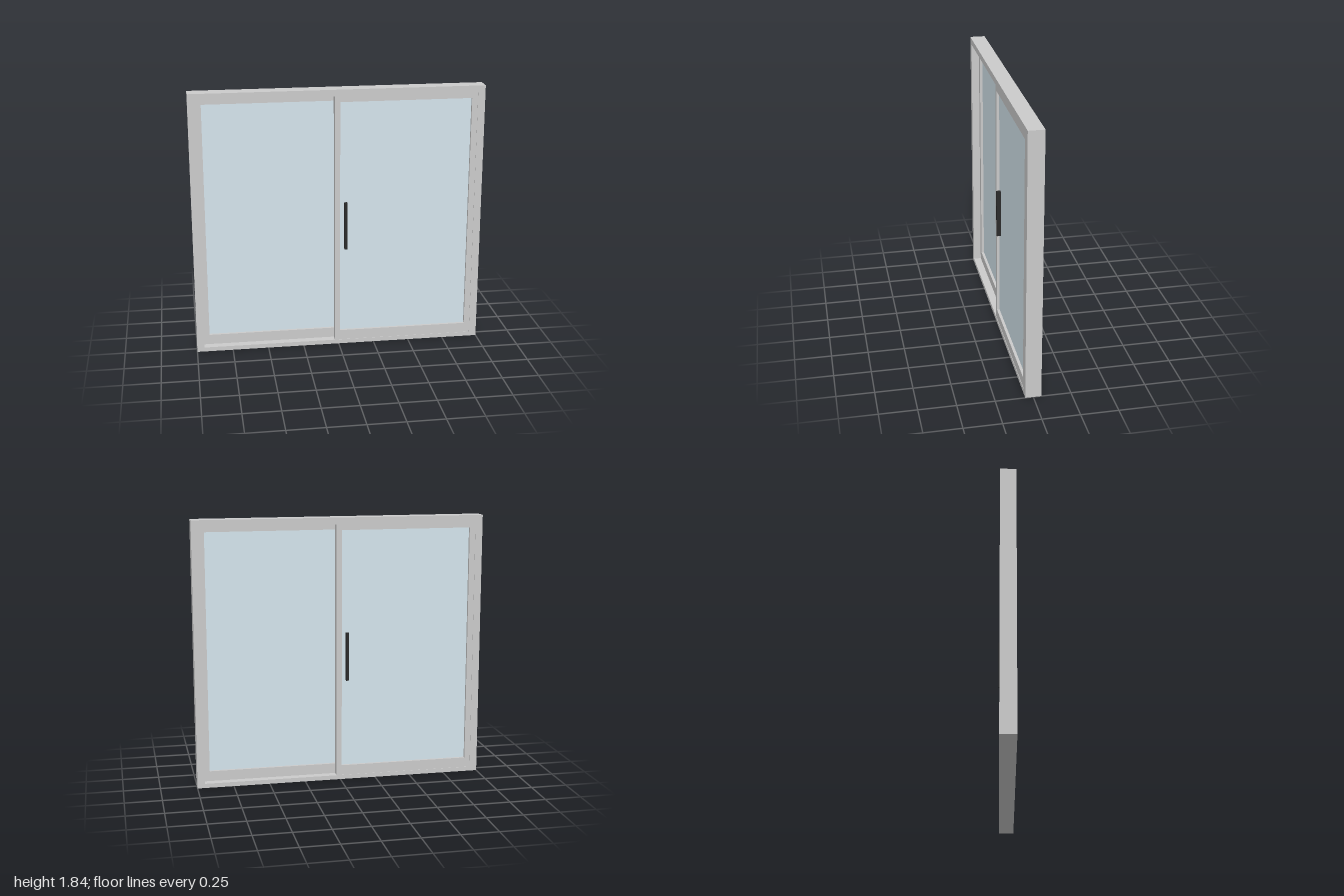
import * as THREE from 'three';

const grey = new THREE.MeshStandardMaterial({ color: 0xcccccc });
const glassBlue = new THREE.MeshStandardMaterial({ color: 0xd5e5ed });
const black = new THREE.MeshStandardMaterial({ color: 0x2a2a2a });

// Rectangle corners given as [x0, y0, x1, y1].
function trace(path, [x0, y0, x1, y1]) {
  path.moveTo(x0, y0);
  path.lineTo(x1, y0);
  path.lineTo(x1, y1);
  path.lineTo(x0, y1);
  path.closePath();
  return path;
}

// Rectangular ring between an outer and an inner rectangle, from z0 to z1.
function ring(name, outer, inner, z0, z1) {
  const shape = trace(new THREE.Shape(), outer);
  shape.holes.push(trace(new THREE.Path(), inner));
  const geometry = new THREE.ExtrudeGeometry(shape, { depth: z1 - z0, bevelEnabled: false });
  geometry.translate(0, 0, z0);
  const mesh = new THREE.Mesh(geometry, grey);
  mesh.name = name;
  return mesh;
}

// Solid block over a rectangle, from z0 to z1.
function block(name, [x0, y0, x1, y1], z0, z1, material) {
  const mesh = new THREE.Mesh(new THREE.BoxGeometry(x1 - x0, y1 - y0, z1 - z0), material);
  mesh.position.set((x0 + x1) / 2, (y0 + y1) / 2, (z0 + z1) / 2);
  mesh.name = name;
  return mesh;
}

// Sliding panel: sash, glass pane and pull handle.
function slidingPanel(name) {
  const panel = new THREE.Group();
  panel.name = name;
  const opening = [0.01, 0.1, 0.91, 1.75];
  panel.add(
    ring('sash', [-0.027, 0.03, 0.95, 1.79], opening, 0.001, 0.05),
    block('glassPane', opening, 0.02, 0.031, glassBlue),
    block('handle', [0.04, 0.71, 0.06, 1.045], 0.031, 0.059, black)
  );
  return panel;
}

export function createModel() {
  const model = new THREE.Group();
  model.name = 'slidingDoor';

  // Fixed outer frame
  model.add(ring('outerFrame', [-1, 0, 1, 1.835], [-0.95, 0.03, 0.95, 1.79], -0.053, 0.053));

  // Two identical panels on neighbouring tracks, the rear one turned half round
  const rear = slidingPanel('rearPanel');
  rear.rotation.y = Math.PI;
  model.add(slidingPanel('frontPanel'), rear);

  return model;
}
